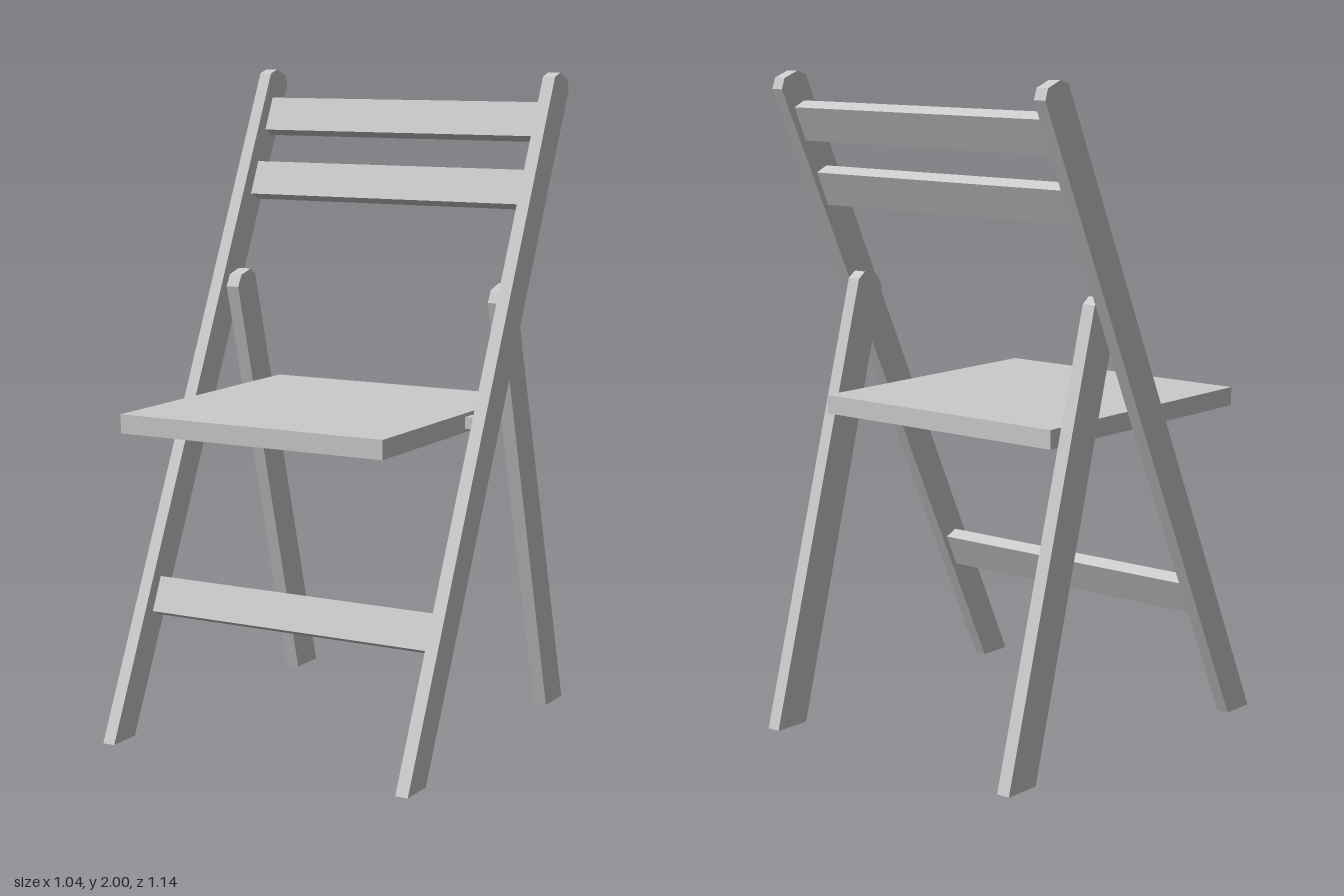
import * as THREE from 'three';

const material = new THREE.MeshStandardMaterial({ color: 0xcccccc, flatShading: true });

// Extrudes a side profile of [z, y] points across the chair from x0 to x1.
function board(name, profile, x0, x1) {
  const shape = new THREE.Shape(profile.map(([z, y]) => new THREE.Vector2(-z, y)));
  const geometry = new THREE.ExtrudeGeometry(shape, { depth: x1 - x0, bevelEnabled: false });
  geometry.rotateY(Math.PI / 2).translate(x0, 0, 0);
  const mesh = new THREE.Mesh(geometry, material);
  mesh.name = name;
  return mesh;
}

function box(name, w, h, d, x, y, z) {
  const mesh = new THREE.Mesh(new THREE.BoxGeometry(w, h, d), material);
  mesh.position.set(x, y, z);
  mesh.name = name;
  return mesh;
}

export function createModel() {
  const chair = new THREE.Group();
  chair.name = 'foldingChair';

  // Long front legs rise into the backrest; their tops are chamfered
  const frontLeg = [[0.57, 0], [0.46, 0], [-0.465, 1.947], [-0.453, 1.98], [-0.4, 2], [-0.363, 1.988]];
  // Short rear legs lean forward against the inside of the front legs
  const rearLeg = [[-0.45, 0], [-0.57, 0], [-0.188, 1.358], [-0.16, 1.378], [-0.105, 1.363], [-0.085, 1.326]];

  for (const [side, s] of [['left', 1], ['right', -1]]) {
    const span = (a, b) => (s > 0 ? [a, b] : [-b, -a]);
    chair.add(board(side + 'FrontLeg', frontLeg, ...span(0.48, 0.52)));
    chair.add(board(side + 'RearLeg', rearLeg, ...span(0.437, 0.48)));
  }

  // Tilted slats between the front legs, placed by their lower front edge
  const slats = [['upperBackSlat', -0.326, 1.81], ['lowerBackSlat', -0.235, 1.61], ['footRail', 0.354, 0.367]];
  for (const [name, z, y] of slats) {
    const profile = [[z, y], [z - 0.041, y - 0.019], [z - 0.087, y + 0.082], [z - 0.046, y + 0.101]];
    chair.add(board(name, profile, -0.48, 0.48));
  }

  // Flat seat and the small pivot beside it
  chair.add(box('seat', 0.874, 0.057, 0.905, 0, 0.986, 0.118));
  chair.add(box('seatPivot', 0.043, 0.035, 0.04, 0.4585, 0.986, 0.04));

  return chair;
}
